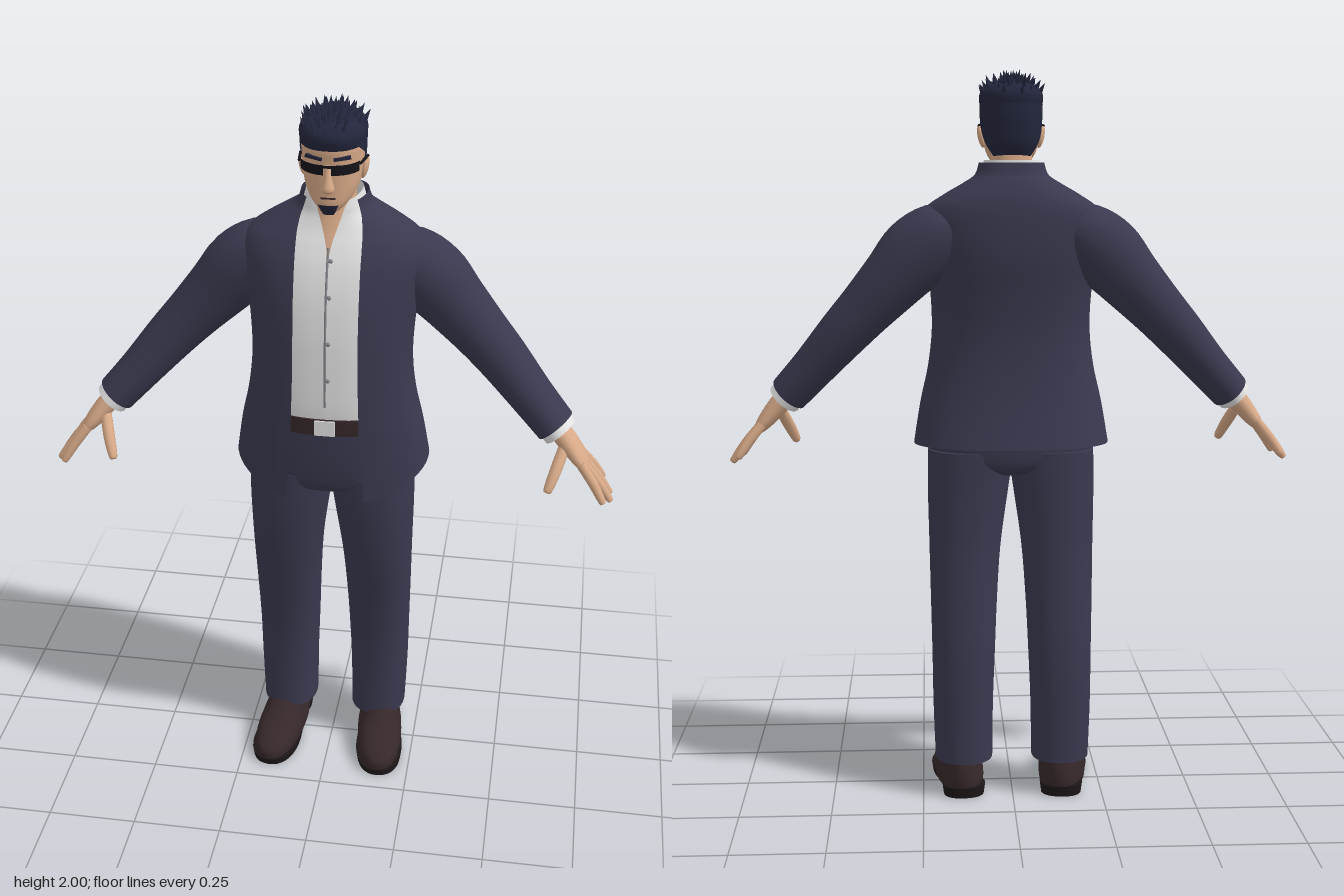
import * as THREE from 'three';

const PI = Math.PI, E = 2.3;
const mat = (name, color, side = THREE.FrontSide) => {
  const m = new THREE.MeshStandardMaterial({ color, side });
  m.name = name;
  return m;
};

// Catmull-Rom resampling of rows of numbers
function smooth(rows, sub) {
  const out = [];
  for (let i = 0; i < rows.length - 1; i++) {
    const [p, q, r, s] = [rows[Math.max(0, i - 1)], rows[i], rows[i + 1], rows[Math.min(rows.length - 1, i + 2)]];
    for (let k = 0; k < sub; k++) {
      const t = k / sub;
      out.push(q.map((v, c) => v + 0.5 * t * (r[c] - p[c] + t * (2 * p[c] - 5 * v + 4 * r[c] - s[c] + t * (3 * (v - r[c]) + s[c] - p[c])))));
    }
  }
  out.push(rows[rows.length - 1]);
  return out;
}

// Skin a list of rings; span(row) gives an open angle range, otherwise rings close
function skin(rows, point, { n = 32, span = null, caps = true } = {}) {
  const pos = [], idx = [], cols = span ? n + 1 : n;
  rows.forEach((row, i) => {
    const [a0, a1] = span ? span(row) : [0, 2 * PI];
    for (let j = 0; j < cols; j++) pos.push(...point(row, a0 + (a1 - a0) * j / n, i));
  });
  for (let i = 0; i < rows.length - 1; i++) for (let j = 0; j < n; j++) {
    const k = span ? j + 1 : (j + 1) % n;
    const a = i * cols + j, b = i * cols + k;
    idx.push(a, b, b + cols, a, b + cols, a + cols);
  }
  if (caps && !span) for (const end of [0, rows.length - 1]) {
    const base = pos.length / 3, c = [0, 0, 0];
    for (let j = 0; j < n; j++) for (let d = 0; d < 3; d++) {
      const v = pos[(end * n + j) * 3 + d];
      pos.push(v);
      c[d] += v / n;
    }
    pos.push(...c);
    for (let j = 0; j < n; j++) {
      const k = (j + 1) % n;
      if (end) idx.push(base + j, base + k, base + n); else idx.push(base + k, base + j, base + n);
    }
  }
  const g = new THREE.BufferGeometry();
  g.setAttribute('position', new THREE.Float32BufferAttribute(pos, 3));
  g.setIndex(idx);
  g.computeVertexNormals();
  return g;
}

// Level rings, bottom to top: [y, x, halfWidth, zFront, zBack, opening, frontDip]
const sgnPow = (v) => Math.sign(v) * Math.abs(v) ** (2 / E);
function stack(rows, opts = {}) {
  return skin(smooth(rows, opts.sub ?? 4), ([y, x, rx, zf, zb, , dip = 0], a) => {
    const s = -sgnPow(Math.sin(a));
    return [x + rx * sgnPow(Math.cos(a)), y - dip * Math.max(0, s) ** 2, (zf + zb) / 2 + s * (zf - zb) / 2];
  }, opts);
}
const openFront = (row) => {
  const h = Math.asin(Math.min(1, (Math.max(0, row[5]) / row[2]) ** (E / 2)));
  return [-PI / 2 + h, 1.5 * PI - h];
};

// Rings across a path: [x, y, z, radius, radius along z]
function limb(path, { n = 16, sub = 4 } = {}) {
  const rows = smooth(path, sub);
  const at = (i) => new THREE.Vector3(...rows[Math.min(rows.length - 1, Math.max(0, i))].slice(0, 3));
  return skin(rows, ([, , , ra, rb], a, i) => {
    const t = at(i + 1).sub(at(i - 1)).normalize();
    const u = t.clone().cross(new THREE.Vector3(0, 0, 1)).normalize();
    const v = t.clone().cross(u);
    return at(i).addScaledVector(u, ra * Math.cos(a)).addScaledVector(v, rb * Math.sin(a)).toArray();
  }, { n });
}

export function createModel() {
  const D = THREE.DoubleSide;
  const suit = mat('suit cloth', 0x3a394f, D), skinM = mat('skin', 0xd8aa88);
  const white = mat('shirt white', 0xe2e2e2, D), hairM = mat('hair', 0x23263c, D);
  const leather = mat('brown leather', 0x36282a), sole = mat('sole', 0x1d1718);
  const black = mat('black lens', 0x15151b, D), grey = mat('seam grey', 0x85858c);

  const model = new THREE.Group();
  const add = (name, geo, m, parent = model) => {
    const mesh = new THREE.Mesh(geo, m);
    mesh.name = name;
    parent.add(mesh);
    return mesh;
  };

  // Jacket, open at the front, with dipping front tails and a standing collar
  add('jacket', stack([
    [0.99, 0, 0.268, 0.148, -0.19, 0.108, 0.085], [1.1, 0, 0.25, 0.149, -0.166, 0.095, 0.03],
    [1.2, 0, 0.228, 0.148, -0.153, 0.09, 0], [1.3, 0, 0.217, 0.145, -0.15, 0.087, 0],
    [1.4, 0, 0.22, 0.139, -0.16, 0.086, 0], [1.5, 0, 0.232, 0.124, -0.175, 0.086, 0],
    [1.58, 0, 0.245, 0.1, -0.176, 0.086, 0], [1.63, 0, 0.232, 0.076, -0.172, 0.086, 0],
    [1.665, 0, 0.185, 0.056, -0.163, 0.085, 0], [1.7, 0, 0.125, 0.042, -0.147, 0.08, 0.005],
    [1.72, 0, 0.098, 0.036, -0.135, 0.074, 0.01], [1.75, 0, 0.088, 0.032, -0.126, 0.066, 0.015],
  ], { n: 56, span: openFront }), suit);

  // Shirt with an open collar
  const shirtRows = [
    [1.15, 0, 0.205, 0.134, -0.13, 0, 0], [1.2, 0, 0.205, 0.137, -0.135, 0, 0],
    [1.3, 0, 0.203, 0.135, -0.135, 0, 0], [1.4, 0, 0.205, 0.13, -0.145, 0, 0],
    [1.5, 0, 0.215, 0.116, -0.155, 0, 0], [1.58, 0, 0.215, 0.093, -0.155, 0, 0],
    [1.63, 0, 0.19, 0.07, -0.15, 0.006, 0], [1.665, 0, 0.145, 0.051, -0.14, 0.016, 0],
    [1.7, 0, 0.098, 0.037, -0.128, 0.028, 0], [1.725, 0, 0.083, 0.032, -0.12, 0.036, 0],
    [1.757, 0, 0.074, 0.028, -0.115, 0.044, 0.02],
  ];
  add('shirt', stack(shirtRows, { n: 48, span: openFront }), white);
  add('shirtSeam', limb(shirtRows.slice(1, 7).map((r) => [0, r[0], r[3], 0.003, 0.002]), { n: 6 }), grey);
  [[1.28, 0.136], [1.385, 0.131], [1.51, 0.114], [1.6, 0.085]].forEach(([y, z]) => {
    add('shirtButton', new THREE.SphereGeometry(0.006, 10, 6), grey).position.set(0.008, y, z);
  });

  // Belt and trousers
  add('belt', stack([[1.115, 0, 0.21, 0.139, -0.135], [1.163, 0, 0.21, 0.14, -0.135]], { sub: 1 }), leather);
  add('buckle', new THREE.BoxGeometry(0.055, 0.044, 0.012), white).position.set(0, 1.139, 0.138);
  add('trouserSeat', stack([
    [0.905, 0, 0.12, 0.07, -0.09], [0.93, 0, 0.2, 0.115, -0.122], [0.98, 0, 0.228, 0.128, -0.13],
    [1.06, 0, 0.222, 0.133, -0.132], [1.13, 0, 0.208, 0.134, -0.13],
  ]), suit);

  const legRows = [ // [y, inner x, outer x, front z, back z]
    [0.1, 0.055, 0.215, 0.036, -0.153], [0.25, 0.053, 0.22, 0.035, -0.155], [0.4, 0.047, 0.222, 0.045, -0.154],
    [0.55, 0.04, 0.225, 0.07, -0.143], [0.7, 0.029, 0.228, 0.1, -0.13], [0.85, 0.008, 0.231, 0.118, -0.126],
    [0.97, -0.01, 0.23, 0.122, -0.125],
  ];

  for (const s of [1, -1]) {
    const side = s > 0 ? 'left' : 'right';
    const part = (name) => {
      const g = new THREE.Group();
      g.name = side + name;
      model.add(g);
      return g;
    };
    const flip = (rows) => rows.map(([x, ...r]) => [x * s, ...r]);

    add(side + 'TrouserLeg', stack(legRows.map(([y, a, b, f, k]) => [y, s * (a + b) / 2, (b - a) / 2, f, k])), suit);

    // Shoe, toes turned slightly out
    const shoe = part('Shoe');
    shoe.position.x = s * 0.147;
    shoe.rotation.y = s * 0.1;
    add('upper', stack([
      [0.018, 0, 0.066, 0.196, -0.147], [0.045, 0, 0.066, 0.192, -0.15], [0.068, 0, 0.06, 0.15, -0.148],
      [0.092, 0, 0.053, 0.075, -0.142], [0.13, 0, 0.048, 0.02, -0.13],
    ]), leather, shoe);
    add('forefootSole', stack([[0, 0, 0.066, 0.198, -0.03], [0.02, 0, 0.069, 0.201, -0.04]], { sub: 1 }), sole, shoe);
    add('heel', stack([[0, 0, 0.056, -0.05, -0.147], [0.03, 0, 0.06, -0.045, -0.152]], { sub: 1 }), sole, shoe);

    // Sleeve, cuff and hand
    const arm = part('Arm');
    add('sleeve', limb(flip([
      [0.13, 1.58, -0.06, 0.05, 0.07], [0.19, 1.56, -0.063, 0.088, 0.095], [0.255, 1.51, -0.064, 0.1, 0.097],
      [0.32, 1.44, -0.063, 0.088, 0.088], [0.395, 1.36, -0.055, 0.076, 0.079], [0.46, 1.29, -0.043, 0.069, 0.075],
      [0.54, 1.2, -0.02, 0.06, 0.071], [0.61, 1.124, 0, 0.055, 0.07],
    ]), { n: 28 }), suit, arm);
    add('cuff', limb(flip([[0.59, 1.146, -0.005, 0.047, 0.061], [0.624, 1.109, 0.004, 0.048, 0.062]]), { n: 24, sub: 1 }), white, arm);
    const hand = part('Hand');
    add('palm', limb(flip([
      [0.6, 1.135, 0, 0.028, 0.034], [0.64, 1.092, 0.01, 0.028, 0.041], [0.675, 1.05, 0.018, 0.023, 0.049],
      [0.695, 1.026, 0.02, 0.016, 0.047], [0.703, 1.017, 0.02, 0.006, 0.036],
    ])), skinM, hand);
    const digit = (name, pts, r) => add(name, limb(flip([
      [...pts[0], r, r], [...pts[1], r, r], [...pts[2], r * 0.75, r * 0.75],
      [...pts[2].map((v, i) => v + (v - pts[1][i]) * 0.12), r * 0.3, r * 0.3],
    ]), { n: 10, sub: 3 }), skinM, hand);
    [[-0.018, 0.748, 0.955, -0.04], [0.008, 0.768, 0.937, 0.012], [0.034, 0.77, 0.935, 0.05], [0.058, 0.75, 0.945, 0.085]]
      .forEach(([z, x, y, tz]) => digit('finger', [[0.685, 1.04, z], [(0.695 + x) / 2, (1.035 + y) / 2, (z + tz) / 2], [x, y, tz]], 0.0135));
    digit('thumb', [[0.638, 1.075, 0.03], [0.618, 1.022, 0.078], [0.602, 0.98, 0.108]], 0.016);
  }

  // Neck and head
  add('neck', stack([
    [1.57, 0, 0.09, 0.075, -0.12], [1.63, 0, 0.075, 0.054, -0.115], [1.67, 0, 0.064, 0.038, -0.108],
    [1.72, 0, 0.057, 0.024, -0.104], [1.79, 0, 0.056, 0.02, -0.1],
  ]), skinM);
  const head = new THREE.Group();
  head.name = 'head';
  model.add(head);
  add('face', stack([
    [1.725, 0, 0.025, 0.065, 0], [1.745, 0, 0.046, 0.076, -0.04], [1.775, 0, 0.066, 0.077, -0.09],
    [1.81, 0, 0.075, 0.078, -0.108], [1.86, 0, 0.079, 0.08, -0.116], [1.9, 0, 0.08, 0.083, -0.118],
    [1.95, 0, 0.066, 0.06, -0.1],
  ]), skinM, head);
  add('nose', stack([
    [1.783, 0, 0.012, 0.09, 0.05], [1.793, 0, 0.017, 0.101, 0.05], [1.82, 0, 0.011, 0.094, 0.05], [1.855, 0, 0.008, 0.084, 0.05],
  ], { n: 14 }), skinM, head);
  add('mouth', new THREE.BoxGeometry(0.038, 0.004, 0.008), leather, head).position.set(0, 1.767, 0.075);
  const front = (a, b) => () => [-PI / 2 + a, -PI / 2 + b];
  add('goatee', stack([
    [1.72, 0, 0.026, 0.07, 0], [1.735, 0, 0.039, 0.077, -0.02], [1.749, 0, 0.05, 0.081, -0.04],
  ], { n: 12, span: front(-0.5, 0.5) }), hairM, head);

  for (const s of [1, -1]) {
    const ear = add('ear', new THREE.SphereGeometry(1, 14, 10), skinM, head);
    ear.scale.set(0.01, 0.031, 0.02);
    ear.position.set(s * 0.08, 1.82, -0.022);
    ear.rotation.z = -s * 0.2;
    const brow = add('eyebrow', new THREE.BoxGeometry(0.044, 0.008, 0.01), hairM, head);
    brow.position.set(s * 0.036, 1.874, 0.076);
    brow.rotation.set(0, s * 0.25, s * 0.12);
    add('glassesLens', stack([[1.832, 0, 0.084, 0.089, -0.12], [1.86, 0, 0.086, 0.093, -0.12]],
      { n: 12, sub: 1, span: s > 0 ? front(0.09, 1.05) : front(-1.05, -0.09) }), black, head);
    add('glassesTemple', limb([[s * 0.078, 1.853, 0.044, 0.004, 0.004], [s * 0.087, 1.848, -0.03, 0.004, 0.004]], { n: 6, sub: 1 }), black, head);
  }
  add('glassesBridge', stack([[1.851, 0, 0.085, 0.091, -0.12], [1.859, 0, 0.086, 0.093, -0.12]],
    { n: 6, sub: 1, span: front(-0.12, 0.12) }), black, head);

  // Short sides and back of the hair: the angle range narrows toward the nape
  add('hairSides', stack([
    [1.768, 0, 0.066, 0.077, -0.1, 0.75], [1.8, 0, 0.077, 0.082, -0.117, 0.45], [1.84, 0, 0.082, 0.083, -0.123, 0.1],
    [1.87, 0, 0.084, 0.085, -0.126, -0.2], [1.905, 0, 0.085, 0.087, -0.126, -0.75],
  ], { n: 36, span: (r) => [r[5], PI - r[5]] }), hairM, head);
  add('hairCrown', stack([
    [1.893, 0, 0.081, 0.085, -0.122], [1.915, 0, 0.086, 0.091, -0.127], [1.935, 0, 0.083, 0.086, -0.125],
    [1.953, 0, 0.066, 0.062, -0.105], [1.962, 0, 0.03, 0.02, -0.06],
  ]), hairM, head);
  // Spikes spread over the crown, leaning outward and back
  const up = new THREE.Vector3(0, 1, 0), COUNT = 84;
  for (let i = 0; i < COUNT; i++) {
    const r = Math.sqrt((i + 0.5) / COUNT), a = i * 2.39996;
    const x = 0.076 * r * Math.cos(a), z = -0.02 + 0.097 * r * Math.sin(a);
    const dir = new THREE.Vector3(x * 8, 1, (z + 0.02) * 6 - 0.35).normalize();
    const len = 0.038 + 0.014 * Math.sin(i * 12.9);
    const spike = add('hairSpike', new THREE.ConeGeometry(0.014, len, 6), hairM, head);
    spike.quaternion.setFromUnitVectors(up, dir);
    spike.position.set(x, 1.958 - 0.034 * r ** 3, z).addScaledVector(dir, len * 0.28);
  }
  return model;
}
